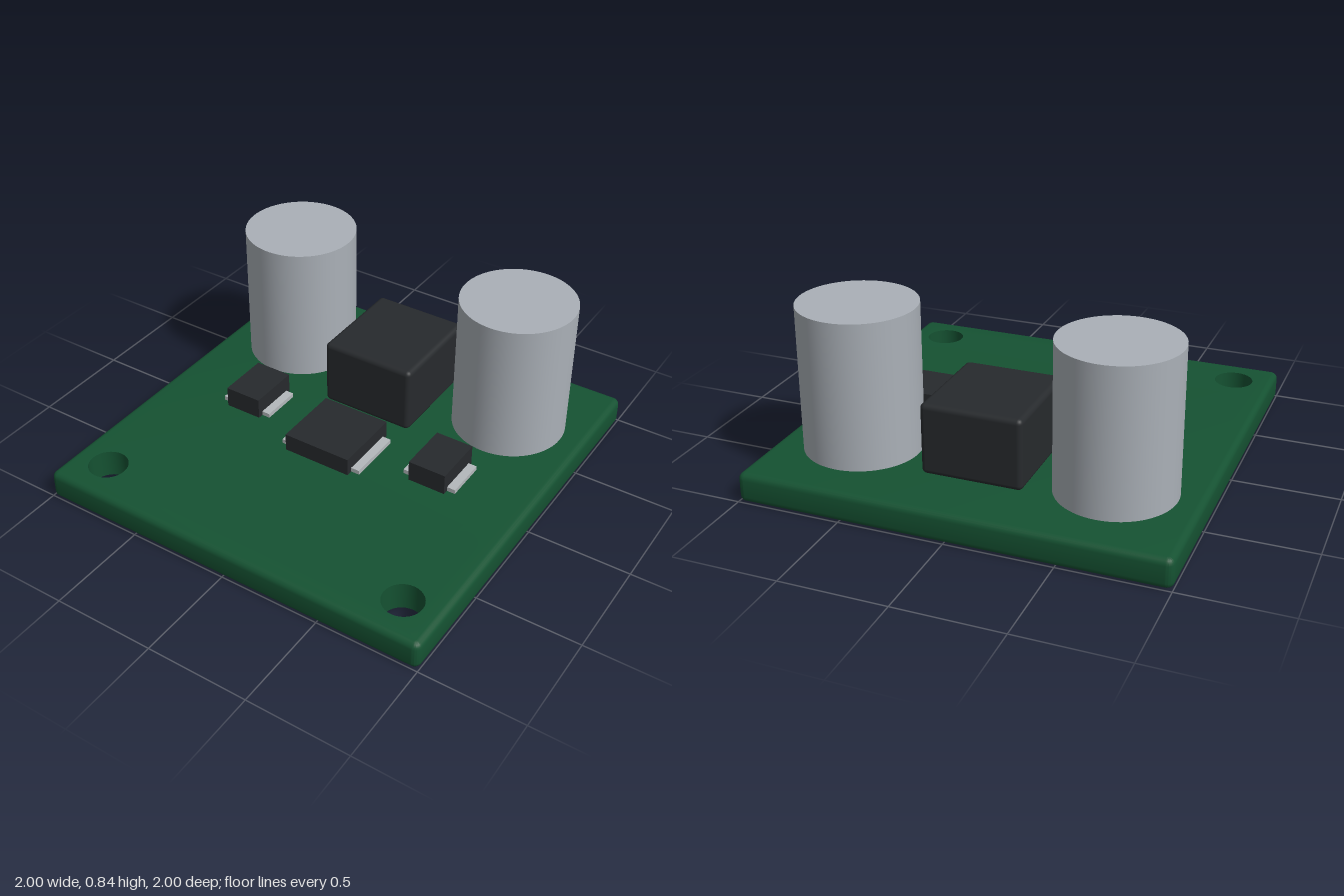
import * as THREE from 'three';
import { toCreasedNormals } from 'three/addons/utils/BufferGeometryUtils.js';
import { RoundedBoxGeometry } from 'three/addons/geometries/RoundedBoxGeometry.js';

const BOARD_TOP = 0.14;
const HOLE = { x: 0.81, z: 0.805, r: 0.095 };

const material = (color) => new THREE.MeshStandardMaterial({ color });
const green = material(0x155232);
const black = material(0x272a2d);
const aluminium = material(0xaab0b7);
const tin = material(0xb4b8bb);

function addMesh(parent, name, geometry, mat, x, y, z) {
  const mesh = new THREE.Mesh(geometry, mat);
  mesh.name = name;
  mesh.position.set(x, y, z);
  parent.add(mesh);
  return mesh;
}

// Square board with softened outer edges and two straight drilled holes
function boardGeometry() {
  const r = 0.035, bevel = 0.03, c = 1 - r;
  const shape = new THREE.Shape();
  shape.absarc(c, c, r, 0, Math.PI / 2);
  shape.absarc(-c, c, r, Math.PI / 2, Math.PI);
  shape.absarc(-c, -c, r, Math.PI, Math.PI * 1.5);
  shape.absarc(c, -c, r, Math.PI * 1.5, Math.PI * 2);
  shape.closePath();
  // Shape y becomes -z once the slab is laid flat
  for (const side of [-1, 1]) {
    const hole = new THREE.Path();
    hole.absarc(side * HOLE.x, -HOLE.z, HOLE.r, 0, Math.PI * 2, true);
    shape.holes.push(hole);
  }
  const geometry = new THREE.ExtrudeGeometry(shape, {
    depth: BOARD_TOP - 2 * bevel,
    bevelSize: bevel,
    bevelThickness: bevel,
    bevelOffset: -bevel,
    bevelSegments: 4,
    curveSegments: 16,
  });
  // Pull the bevelled hole rims back to plain cylindrical walls
  const p = geometry.attributes.position;
  for (let i = 0; i < p.count; i++) {
    const cx = Math.sign(p.getX(i)) * HOLE.x, cy = -HOLE.z;
    const dx = p.getX(i) - cx, dy = p.getY(i) - cy;
    const d = Math.hypot(dx, dy);
    if (d < 0.15) p.setXY(i, cx + (dx / d) * HOLE.r, cy + (dy / d) * HOLE.r);
  }
  geometry.rotateX(-Math.PI / 2);
  geometry.translate(0, bevel, 0);
  return toCreasedNormals(geometry, Math.PI / 5);
}

// Surface-mount part: dark body with a metal terminal on each side
function chip(name, x, z, body, pads) {
  const group = new THREE.Group();
  group.name = name;
  group.position.set(x, BOARD_TOP, z);
  const [w, h, d] = body;
  addMesh(group, 'chipBody', new THREE.BoxGeometry(w, h, d), black, 0, h / 2, 0);
  const [span, padHeight, padDepth] = pads;
  const padWidth = (span - w) / 2 + 0.02;
  for (const side of [-1, 1]) {
    addMesh(group, side > 0 ? 'leftTerminal' : 'rightTerminal',
      new THREE.BoxGeometry(padWidth, padHeight, padDepth), tin,
      side * (span - padWidth) / 2, padHeight / 2, 0);
  }
  return group;
}

export function createModel() {
  const model = new THREE.Group();
  model.name = 'circuitModule';

  addMesh(model, 'board', boardGeometry(), green, 0, 0, 0);

  // Block inductor between the two capacitors
  addMesh(model, 'inductor', new RoundedBoxGeometry(0.48, 0.34, 0.52, 3, 0.025),
    black, 0, BOARD_TOP + 0.17, -0.44);

  // Central chip
  model.add(chip('controllerChip', 0, 0.083, [0.35, 0.09, 0.345], [0.436, 0.022, 0.28]));

  // Mirrored pairs: can capacitors and small diodes
  for (const side of [-1, 1]) {
    const label = side > 0 ? 'left' : 'right';
    addMesh(model, label + 'Capacitor', new THREE.CylinderGeometry(0.278, 0.278, 0.7, 64),
      aluminium, side * 0.61, BOARD_TOP + 0.35, -0.525);
    model.add(chip(label + 'Diode', side * 0.523, -0.004,
      [0.19, 0.105, 0.26], [0.274, 0.022, 0.205]));
  }

  return model;
}
